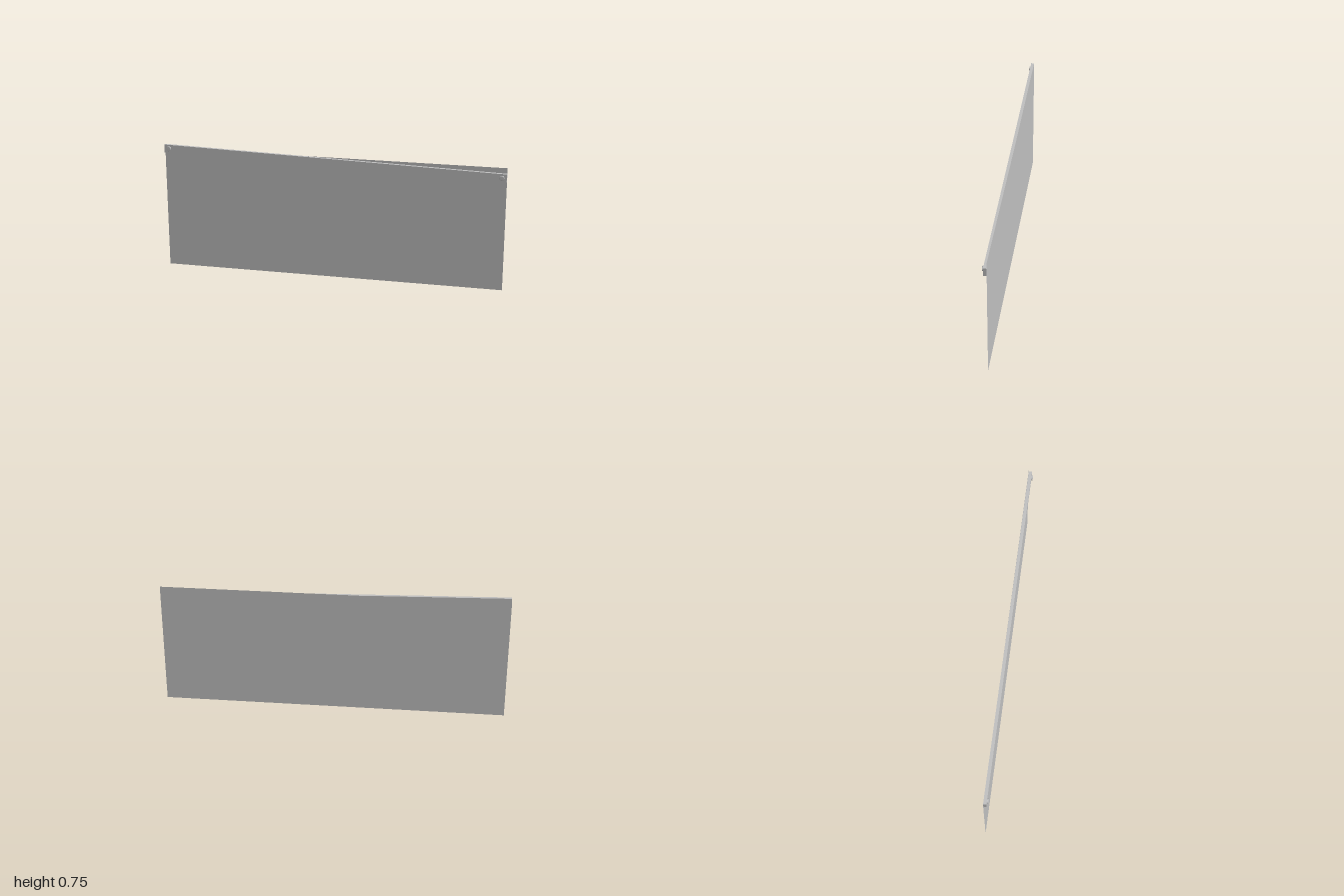
import * as THREE from 'three';

export function createModel() {
  const model = new THREE.Group();
  const grey = new THREE.MeshStandardMaterial({ color: 0xc0c0c0, side: THREE.DoubleSide });
  grey.name = 'light grey';

  const add = (parent, name, geometry, x, y, z) => {
    const mesh = new THREE.Mesh(geometry, grey);
    mesh.name = name;
    mesh.position.set(x, y, z);
    parent.add(mesh);
    return mesh;
  };

  // Thin hanging sheet
  const height = 0.725;
  add(model, 'sheet', new THREE.PlaneGeometry(2, height), 0, height / 2, -0.013);

  // Slightly tilted rail in front of the sheet's upper edge
  const rail = new THREE.Group();
  rail.name = 'rail';
  rail.position.set(0, 0.697, -0.0038);
  rail.rotation.z = -Math.atan(0.0275);
  model.add(rail);
  add(rail, 'railBar', new THREE.BoxGeometry(2, 0.048, 0.018), 0, 0, 0);

  // Round bolt heads with softened rims at both ends of the rail
  const profile = [[0.014, 0], [0.014, 0.0062], [0.0132, 0.0076], [0.012, 0.008], [0, 0.008]];
  const bolt = new THREE.LatheGeometry(profile.map(([r, h]) => new THREE.Vector2(r, h)), 24);
  bolt.rotateX(Math.PI / 2);
  for (const side of [-1, 1]) {
    add(rail, side < 0 ? 'rightBolt' : 'leftBolt', bolt, side * 0.972, 0.001, 0.009);
  }

  return model;
}
